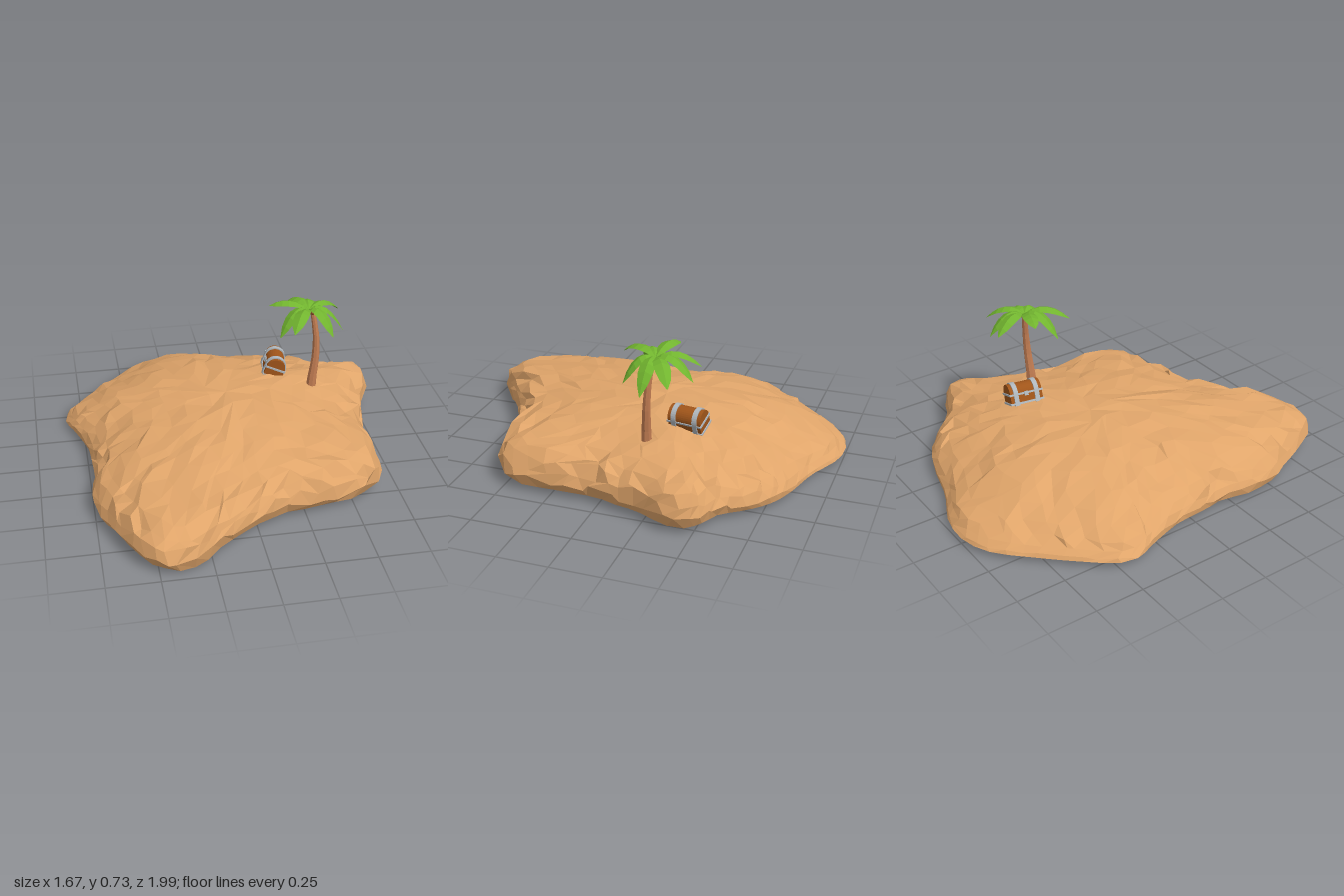
import * as THREE from 'three';

const V = (x, y, z) => new THREE.Vector3(x, y, z);
const paint = (color) => new THREE.MeshStandardMaterial({ color, flatShading: true, side: THREE.DoubleSide });

function seeded(seed) {
  return () => {
    seed = (seed * 16807) % 2147483647;
    return seed / 2147483647 - 0.5;
  };
}

function add(parent, name, geometry, material) {
  const mesh = new THREE.Mesh(geometry, material);
  mesh.name = name;
  parent.add(mesh);
  return mesh;
}

function facets(points, index) {
  const g = new THREE.BufferGeometry().setFromPoints(points);
  g.setIndex(index);
  const flat = g.toNonIndexed();
  flat.computeVertexNormals();
  return flat;
}

// Shoreline as x, cliffness (0 = gentle beach, 1 = steep bank), z
const shore = [
  [-0.25, 0, -1], [-0.1, 0, -0.985], [0.1, 0.1, -0.9], [0.3, 0.2, -0.85], [0.45, 0.4, -0.79],
  [0.58, 0.6, -0.68], [0.64, 0.7, -0.6], [0.78, 0.9, -0.53], [0.83, 1, -0.48], [0.835, 1, -0.4],
  [0.76, 1, -0.23], [0.73, 0.9, -0.1], [0.69, 0.9, 0.05], [0.69, 0.9, 0.25], [0.68, 0.9, 0.45],
  [0.62, 0.9, 0.53], [0.52, 0.9, 0.59], [0.35, 0.9, 0.63], [0.15, 0.9, 0.66], [-0.05, 0.9, 0.76],
  [-0.18, 0.9, 0.85], [-0.33, 0.85, 0.96], [-0.44, 0.8, 1], [-0.55, 0.7, 0.93], [-0.63, 0.7, 0.8],
  [-0.7, 0.6, 0.63], [-0.75, 0.5, 0.5], [-0.76, 0.5, 0.35], [-0.73, 0.5, 0.2], [-0.74, 0.4, 0.08],
  [-0.75, 0.3, -0.1], [-0.8, 0.2, -0.28], [-0.84, 0, -0.42], [-0.82, 0, -0.5], [-0.7, 0, -0.65],
  [-0.58, 0, -0.78], [-0.4, 0, -0.95],
];

// Rings from rim to crest: point count, beach scale and height, bank scale and height
const rings = [
  [76, 1, 0.03, 0.96, 0.03], [78, 0.99, 0.045, 1, 0.09], [78, 0.96, 0.07, 0.985, 0.142],
  [74, 0.92, 0.1, 0.945, 0.182], [68, 0.86, 0.132, 0.88, 0.212], [60, 0.77, 0.173, 0.79, 0.232],
  [52, 0.67, 0.213, 0.68, 0.25], [44, 0.56, 0.248, 0.56, 0.265], [34, 0.44, 0.275, 0.44, 0.282],
  [24, 0.31, 0.294, 0.31, 0.294], [12, 0.16, 0.304, 0.16, 0.304], [1, 0, 0.305, 0, 0.305],
];

const bump = (x, z, cx, cz, spread) => Math.exp(-((x - cx) ** 2 + (z - cz) ** 2) / spread);

function islandGeometry() {
  const rnd = seeded(4711);
  const curve = new THREE.CatmullRomCurve3(shore.map((p) => V(...p)), true);
  const points = [], index = [], starts = [];
  rings.forEach(([n, s0, y0, s1, y1], r) => {
    starts.push(points.length);
    const loose = r > 2 ? 0.035 : 0;
    for (let i = 0; i < n; i++) {
      const p = curve.getPointAt((i + (r ? rnd() * 0.75 : 0) + n) / n % 1);
      const c = THREE.MathUtils.clamp(p.y, 0, 1);
      const s = THREE.MathUtils.lerp(s0, s1, c) + (rnd() * 0.5 - 0.25) * (r < 3 ? 0.03 * c : 0);
      const x = p.x * s + rnd() * loose;
      const z = -0.1 + (p.z + 0.1) * s + rnd() * loose;
      let y = THREE.MathUtils.lerp(y0, y1, c);
      if (r > 0) y += rnd() * (r < 5 ? 0.012 + 0.035 * c : 0.018);
      // low tip at the front, small mounds under the chest and the palm
      if (r === 0) y -= 0.03 * bump(x, z, -0.33, 0.91, 0.012);
      y += 0.016 * bump(x, z, 0.32, -0.3, 0.03) + 0.008 * bump(x, z, 0.47, -0.17, 0.015);
      points.push(V(x, Math.max(y, 0), z));
    }
  });
  // Zip neighbouring rings of different counts
  for (let r = 0; r + 1 < rings.length; r++) {
    const n = rings[r][0], m = rings[r + 1][0], a = starts[r], b = starts[r + 1];
    let i = 0, j = 0;
    while (i < n || (m > 1 && j < m)) {
      const A = a + (i % n), B = b + (j % m);
      if (m === 1 || j >= m || (i < n && (i + 1) / n <= (j + 1) / m)) index.push(A, B, a + (++i % n));
      else index.push(A, B, b + (++j % m));
    }
  }
  return facets(points, index);
}

// Tapered trunk bent along a curve
function trunkGeometry() {
  const path = new THREE.CatmullRomCurve3([
    V(0.45, 0.235, -0.165), V(0.458, 0.32, -0.167), V(0.473, 0.43, -0.172),
    V(0.474, 0.55, -0.18), V(0.455, 0.685, -0.195),
  ]);
  const g = new THREE.CylinderGeometry(0.013, 0.028, 1, 8, 8);
  const pos = g.attributes.position;
  for (let i = 0; i < pos.count; i++) {
    const p = path.getPoint(pos.getY(i) + 0.5);
    pos.setXYZ(i, p.x + pos.getX(i), p.y, p.z + pos.getZ(i));
  }
  g.computeVertexNormals();
  return g;
}

// Arched frond: a centre ridge with two drooping edges
function frondGeometry(root, tip, lift) {
  const mid = root.clone().lerp(tip, 0.5).setY(lift);
  const path = new THREE.QuadraticBezierCurve3(root, mid, tip);
  const side = V(root.z - tip.z, 0, tip.x - root.x).normalize();
  const widths = [0.007, 0.022, 0.033, 0.038, 0.036, 0.026, 0.002];
  const points = [], index = [];
  widths.forEach((w, i) => {
    const p = path.getPoint(i / (widths.length - 1));
    for (const k of [-1, 0, 1]) {
      points.push(p.clone().addScaledVector(side, k * w).add(V(0, k ? -w * 0.4 : 0, 0)));
    }
    if (i === 0) return;
    for (const k of [0, 1]) {
      const a = (i - 1) * 3 + k, b = a + 3;
      index.push(a, a + 1, b, a + 1, b + 1, b);
    }
  });
  return facets(points, index);
}

// Chest cross-section: box with a rounded lid, grown by t
function chestShape(t) {
  const w = 0.05 + t;
  const s = new THREE.Shape();
  s.moveTo(-w, -0.055 - t);
  s.lineTo(w, -0.055 - t);
  s.lineTo(w, 0);
  s.absarc(0, 0, w, 0, Math.PI, false);
  s.closePath();
  return s;
}

function slab(shape, depth, z) {
  const g = new THREE.ExtrudeGeometry(shape, { depth, bevelEnabled: false, curveSegments: 8 });
  return g.translate(0, 0, z - depth / 2);
}

function createChest() {
  const chest = new THREE.Group();
  chest.name = 'treasureChest';
  const wood = paint(0xa0551a), metal = paint(0xb0b7bd);
  add(chest, 'chestBody', slab(chestShape(0), 0.172, 0), wood);
  for (const z of [-0.056, 0.056]) {
    add(chest, 'chestBand', slab(chestShape(0.006), 0.024, z), metal);
  }
  // Rails along the seam and the bottom edges
  for (const y of [-0.003, -0.051]) {
    for (const x of [-0.05, 0.05]) {
      add(chest, 'chestRail', new THREE.BoxGeometry(0.008, 0.01, 0.18).translate(x, y, 0), metal);
    }
    for (const z of [-0.087, 0.087]) {
      add(chest, 'chestRail', new THREE.BoxGeometry(0.108, 0.01, 0.008).translate(0, y, z), metal);
    }
  }
  add(chest, 'chestLock', new THREE.BoxGeometry(0.01, 0.022, 0.02).translate(-0.053, -0.006, 0), metal);
  chest.position.set(0.29, 0.338, -0.32);
  chest.rotation.set(0, -0.16, -0.37);
  return chest;
}

export function createModel() {
  const model = new THREE.Group();
  model.name = 'island';
  add(model, 'sand', islandGeometry(), paint(0xe0a56a));

  const palm = new THREE.Group();
  palm.name = 'palmTree';
  model.add(palm);
  add(palm, 'trunk', trunkGeometry(), paint(0xc17c52));

  // Fronds: tip x, y, z and height of the arch
  const green = paint(0x72b52f);
  const fronds = [
    [0.24, 0.70, -0.26, 0.77], [0.365, 0.64, -0.405, 0.765], [0.465, 0.6, -0.395, 0.765],
    [0.625, 0.62, -0.325, 0.755], [0.62, 0.56, -0.19, 0.76], [0.54, 0.58, -0.08, 0.76],
    [0.32, 0.65, -0.005, 0.77], [0.27, 0.585, -0.11, 0.775],
  ];
  for (const [x, y, z, lift] of fronds) {
    add(palm, 'frond', frondGeometry(V(0.437, 0.687, -0.205), V(x, y, z), lift), green);
  }
  const husk = paint(0x8a4e2a);
  for (const [x, z] of [[0.435, -0.215], [0.452, -0.182]]) {
    add(palm, 'coconut', new THREE.IcosahedronGeometry(0.011, 1).translate(x, 0.678, z), husk);
  }

  model.add(createChest());
  return model;
}
